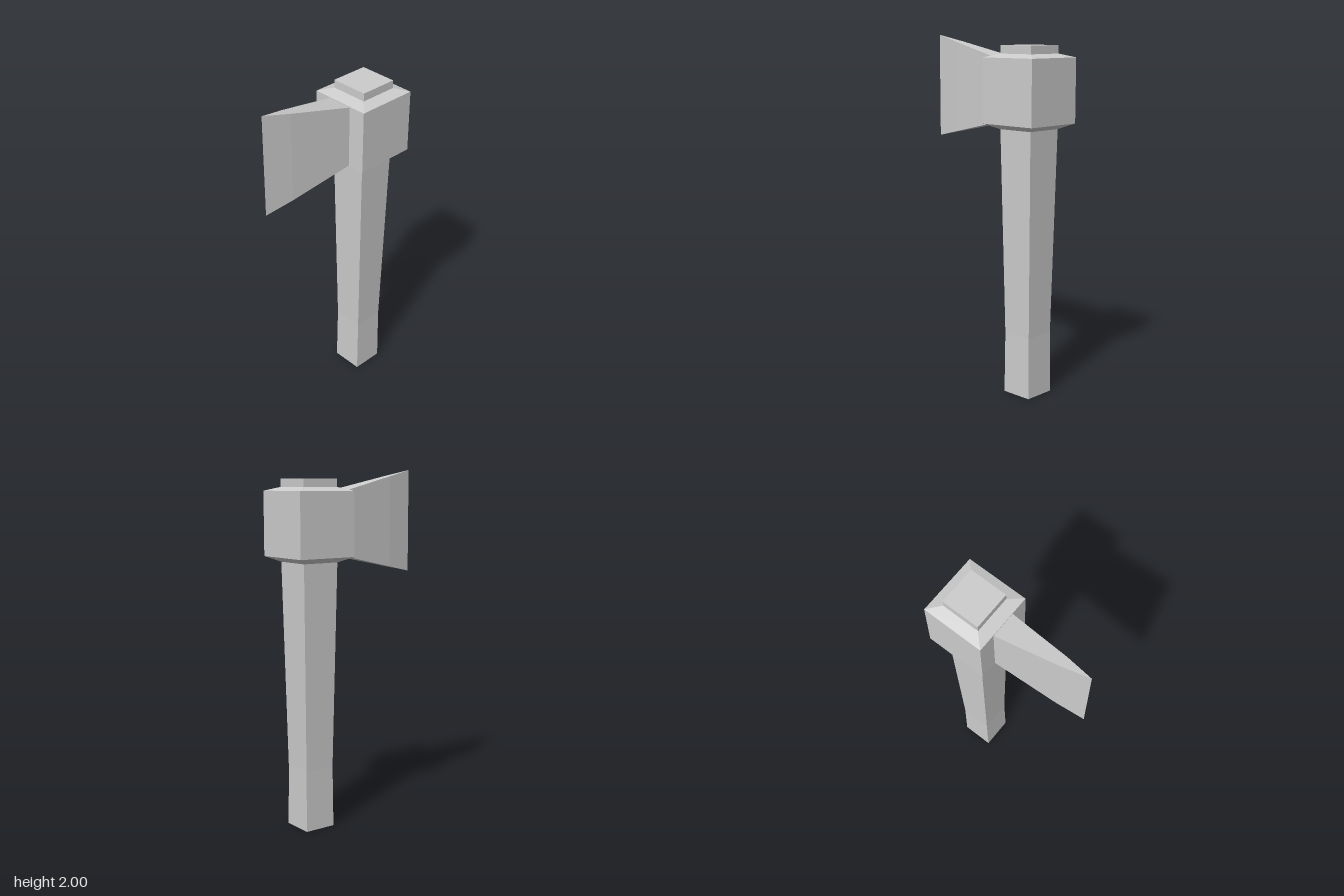
import * as THREE from 'three';

const material = new THREE.MeshStandardMaterial({ color: 0xcccccc, flatShading: true });
const AXIS_Z = -0.265; // centre line of handle and head

// Lofts four-cornered rings (counter-clockwise seen from the far end) into a faceted solid.
function loft(name, rings, capStart, capEnd) {
  const positions = [];
  const tri = (a, b, c) => {
    const area = new THREE.Vector3().subVectors(b, a).cross(new THREE.Vector3().subVectors(c, a)).length();
    if (area > 1e-8) for (const p of [a, b, c]) positions.push(p.x, p.y, p.z);
  };
  const quad = (a, b, c, d) => { tri(a, b, c); tri(a, c, d); };
  for (let r = 0; r < rings.length - 1; r++) {
    for (let i = 0; i < 4; i++) {
      const j = (i + 1) % 4;
      quad(rings[r][i], rings[r][j], rings[r + 1][j], rings[r + 1][i]);
    }
  }
  if (capStart) quad(...[...rings[0]].reverse());
  if (capEnd) quad(...rings[rings.length - 1]);
  const geometry = new THREE.BufferGeometry();
  geometry.setAttribute('position', new THREE.Float32BufferAttribute(positions, 3));
  geometry.computeVertexNormals();
  const mesh = new THREE.Mesh(geometry, material);
  mesh.name = name;
  return mesh;
}

// Horizontal square ring at height y with half width h.
const square = ([y, h]) => [[1, 1], [1, -1], [-1, -1], [-1, 1]]
  .map(([sx, sz]) => new THREE.Vector3(sx * h, y, AXIS_Z + sz * h));

// Upright rectangular ring at depth z.
const upright = ([z, h, low, high]) => [[-h, low], [h, low], [h, high], [-h, high]]
  .map(([x, y]) => new THREE.Vector3(x, y, z));

export function createModel() {
  const group = new THREE.Group();
  group.name = 'axe';

  // Square handle, slightly waisted near the grip
  group.add(loft('handle', [[0, 0.092], [0.35, 0.089], [1.5, 0.11]].map(square), true, false));

  // Head block with bevelled top and bottom
  group.add(loft('headBlock',
    [[1.5, 0.11], [1.53, 0.177], [1.885, 0.177], [1.905, 0.11]].map(square), false, false));

  // End of the handle showing above the head
  group.add(loft('handleTop', [[1.905, 0.11], [1.95, 0.11]].map(square), false, true));

  // Flared blade narrowing to a vertical cutting edge
  group.add(loft('blade', [
    [-0.09, 0.075, 1.53, 1.88],
    [0.28, 0.029, 1.45, 1.964],
    [0.442, 0, 1.415, 2.0],
  ].map(upright), false, false));

  return group;
}
